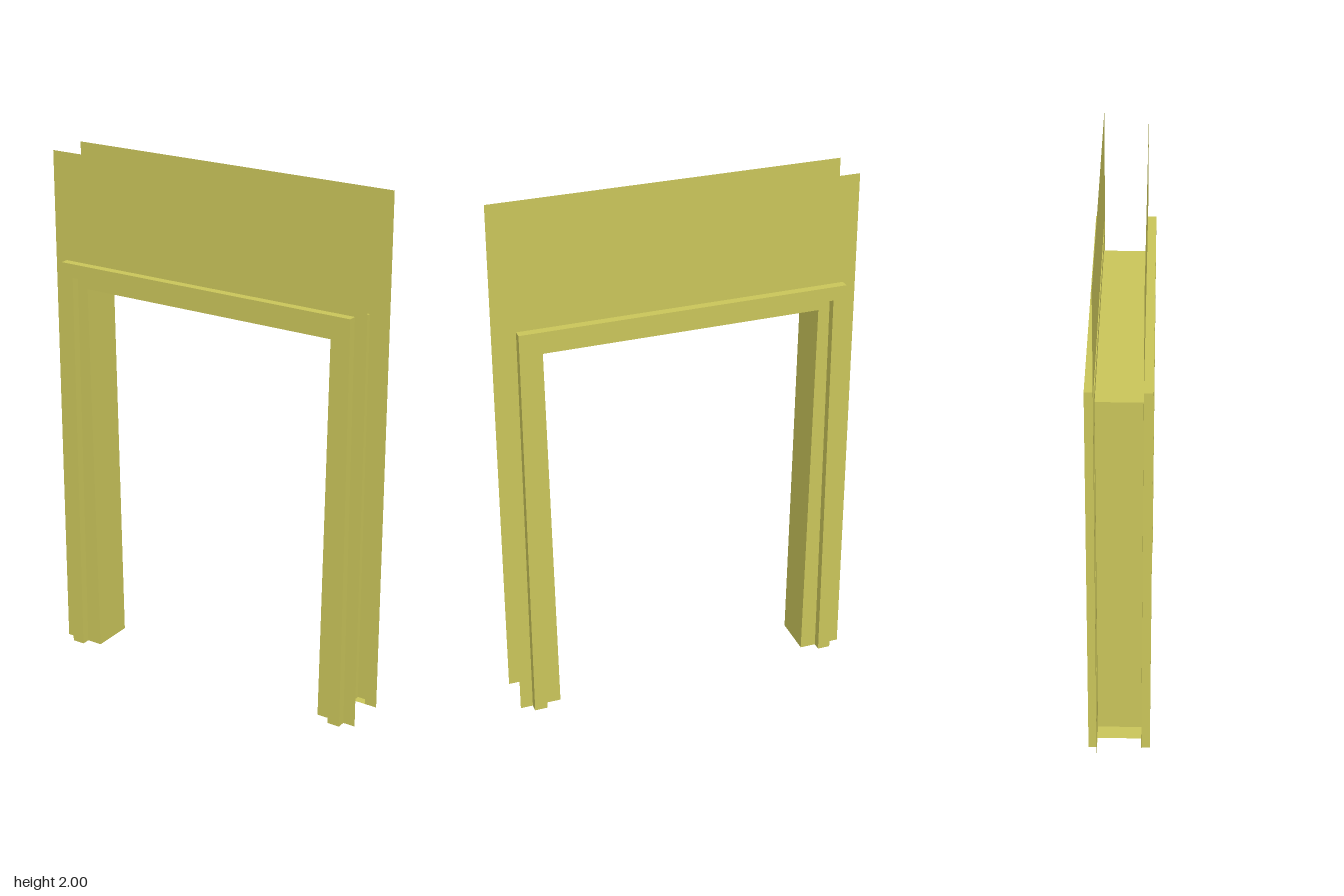
import * as THREE from 'three';

const paint = new THREE.MeshStandardMaterial({ color: 0xcac55a, side: THREE.DoubleSide });
paint.name = 'yellowPaint';

// A U-shaped outline round the doorway: half width at the foot and at the head, height, depth
const outline = (foot, head, height, z) => [
  [-foot, 0, z], [-head, height, z], [head, height, z], [foot, 0, z],
];

// Flat-faced sheet joining consecutive outlines (outer to inner, then front to back)
function sheet(name, outlines) {
  const p = [];
  for (let k = 0; k < outlines.length - 1; k++) {
    const a = outlines[k], b = outlines[k + 1];
    for (let i = 0; i < 3; i++) {
      p.push(...a[i], ...b[i], ...b[i + 1], ...a[i], ...b[i + 1], ...a[i + 1]);
    }
  }
  const g = new THREE.BufferGeometry();
  g.setAttribute('position', new THREE.Float32BufferAttribute(p, 3));
  g.computeVertexNormals();
  const mesh = new THREE.Mesh(g, paint);
  mesh.name = name;
  return mesh;
}

// Downward-facing plate closing the foot of a hollow part
function footCap(name, x0, x1, z0, z1) {
  const mesh = new THREE.Mesh(new THREE.PlaneGeometry(x1 - x0, z1 - z0), paint);
  mesh.rotation.x = Math.PI / 2;
  mesh.position.set((x0 + x1) / 2, 0, (z0 + z1) / 2);
  mesh.name = name;
  return mesh;
}

export function createModel() {
  const model = new THREE.Group();
  model.name = 'doorway';
  const zWall = 0.083, zTrim = 0.115;

  const wallEdge = outline(0.664, 0.664, 2, zWall);
  const trimOuterBack = outline(0.616, 0.616, 1.588, zWall);
  const trimOuterFront = outline(0.616, 0.616, 1.588, zTrim);
  const trimInnerFront = outline(0.567, 0.567, 1.535, zTrim);
  const trimInnerBack = outline(0.567, 0.567, 1.535, zWall);
  const openingFront = outline(0.505, 0.523, 1.49, zWall);
  const openingBack = outline(0.505, 0.523, 1.49, -zWall);

  // Wall sheet, raised trim and jamb face, the same on both sides
  for (const [side, turn] of [['front', 0], ['back', Math.PI]]) {
    const face = new THREE.Group();
    face.name = side + 'Face';
    face.add(
      sheet('wall', [wallEdge, trimOuterBack]),
      sheet('trim', [trimOuterBack, trimOuterFront, trimInnerFront, trimInnerBack]),
      sheet('jambFace', [trimInnerBack, openingFront]),
      footCap('leftTrimFoot', 0.567, 0.616, zWall, zTrim),
      footCap('rightTrimFoot', -0.616, -0.567, zWall, zTrim),
    );
    face.rotation.y = turn;
    model.add(face);
  }

  // Lining through the opening, with closed feet
  model.add(
    sheet('lining', [openingFront, openingBack]),
    footCap('leftJambFoot', 0.505, 0.567, -zWall, zWall),
    footCap('rightJambFoot', -0.567, -0.505, -zWall, zWall),
  );
  return model;
}
